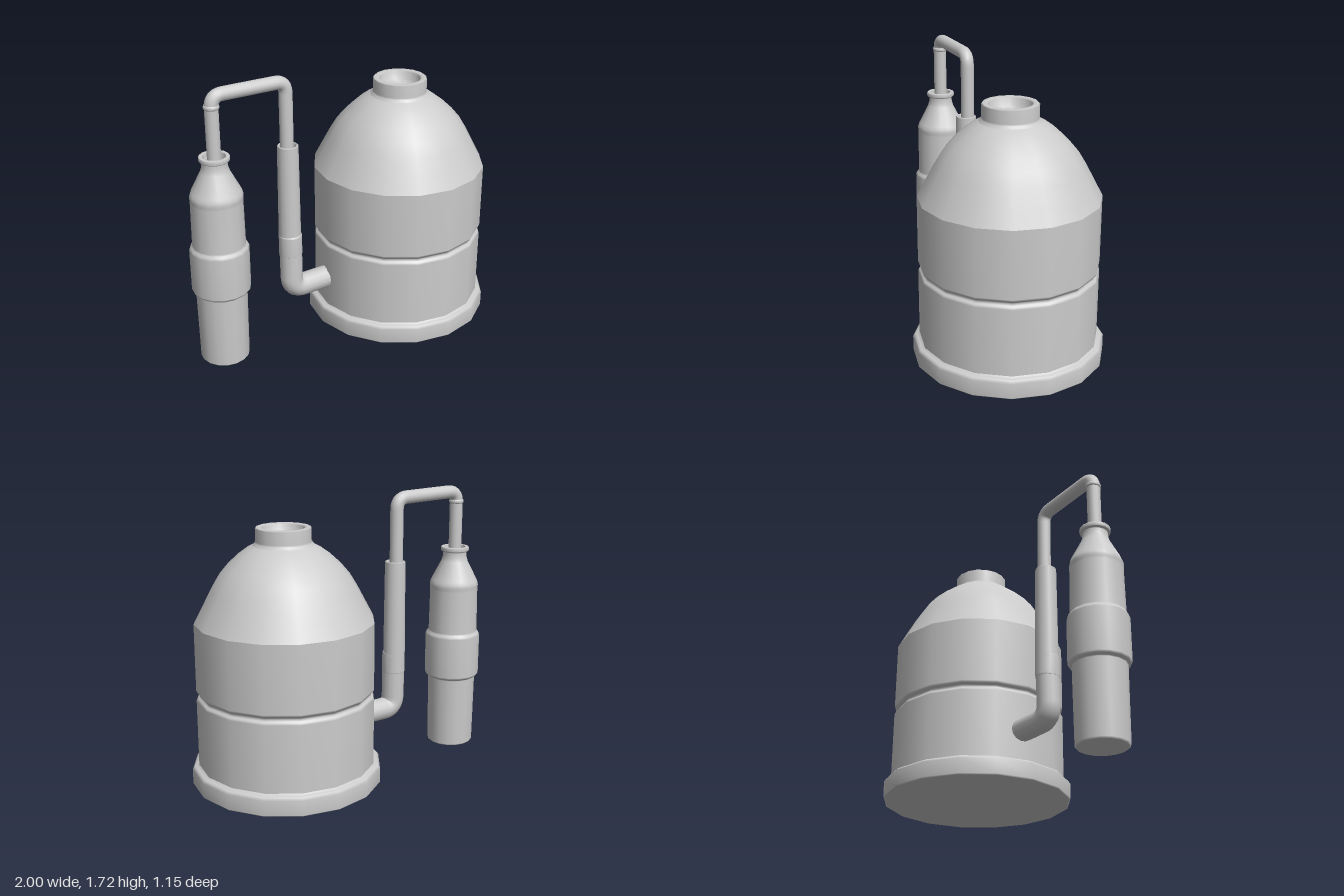
import * as THREE from 'three';

const material = new THREE.MeshStandardMaterial({ color: 0xcccccc, side: THREE.DoubleSide });

// Turned part; a profile point is [radius, height, bevel], the bevel softening that corner
function turned(name, profile, x, z, sides = 16) {
  const pts = [];
  profile.forEach(([r, y, bevel], i) => {
    const p = new THREE.Vector2(r, y);
    if (!bevel) return pts.push(p);
    for (const n of [profile[i - 1], profile[i + 1]]) {
      const d = new THREE.Vector2(n[0] - r, n[1] - y);
      pts.push(p.clone().addScaledVector(d, Math.min(0.45, bevel / d.length())));
    }
  });
  const mesh = new THREE.Mesh(new THREE.LatheGeometry(pts, sides), material);
  mesh.name = name;
  mesh.position.set(x, 0, z);
  return mesh;
}

// Round pipe along straight runs joined by rounded elbows
function pipe(name, corners, radius, bend, sides = 14) {
  const v = corners.map(c => new THREE.Vector3(...c));
  const path = new THREE.CurvePath();
  let from = v[0];
  for (let i = 1; i < v.length - 1; i++) {
    const a = v[i].clone().add(v[i - 1].clone().sub(v[i]).setLength(bend));
    const b = v[i].clone().add(v[i + 1].clone().sub(v[i]).setLength(bend));
    path.add(new THREE.LineCurve3(from, a));
    path.add(new THREE.QuadraticBezierCurve3(a, v[i], b));
    from = b;
  }
  path.add(new THREE.LineCurve3(from, v[v.length - 1]));
  const mesh = new THREE.Mesh(new THREE.TubeGeometry(path, 90, radius, sides), material);
  mesh.name = name;
  return mesh;
}

export function createModel() {
  const model = new THREE.Group();
  model.name = 'distillingApparatus';
  const tankX = 0.425, bottleX = -0.825, riserX = -0.35, z = -0.06;

  // Wide foot under the tank
  model.add(turned('tankBase', [
    [0, 0.02], [0.575, 0.02, 0.008], [0.575, 0.13, 0.012], [0.545, 0.137, 0.005], [0.53, 0.15],
  ], tankX, 0));

  // Straight wall with a groove around the middle
  model.add(turned('tankBody', [
    [0.535, 0.1], [0.535, 0.562, 0.008], [0.515, 0.575, 0.004], [0.515, 0.59, 0.004],
    [0.535, 0.607, 0.008], [0.535, 1.02],
  ], tankX, 0));

  // Domed shoulder
  model.add(turned('tankDome', [
    [0.535, 1.02], [0.485, 1.115], [0.435, 1.21], [0.39, 1.285], [0.335, 1.35],
    [0.27, 1.41], [0.215, 1.45], [0.16, 1.48],
  ], tankX, 0));

  // Open neck with a shallow well inside
  model.add(turned('tankNeck', [
    [0.185, 1.465], [0.165, 1.485, 0.006], [0.165, 1.572, 0.006], [0.125, 1.572, 0.008],
    [0.112, 1.5, 0.02], [0, 1.49],
  ], tankX, 0));

  // Receiving bottle with a wide band and tapered shoulder
  model.add(turned('bottle', [
    [0, 0.008], [0.148, 0.008, 0.01], [0.153, 0.465, 0.004], [0.176, 0.48, 0.008],
    [0.176, 0.755, 0.008], [0.157, 0.775, 0.006], [0.153, 1.06, 0.006], [0.156, 1.085, 0.006],
    [0.15, 1.11, 0.01], [0.078, 1.25, 0.015], [0.073, 1.298, 0.003], [0.09, 1.303, 0.004],
    [0.09, 1.33, 0.004], [0.066, 1.33, 0.004], [0.06, 1.27, 0.004], [0, 1.27],
  ], bottleX, z));

  // Thin tube from the riser over to the bottle
  model.add(pipe('transferTube', [
    [bottleX, 1.24, z], [bottleX, 1.685, z], [riserX, 1.678, z], [riserX, 1.2, z],
  ], 0.041, 0.07));
  model.add(turned('tubeCollar', [
    [0.04, 1.608], [0.046, 1.613, 0.003], [0.046, 1.628, 0.003], [0.04, 1.634],
  ], bottleX, z));

  // Thick outlet pipe leaving the tank wall and turning upwards
  model.add(pipe('outletPipe', [
    [0, 0.328, -0.04], [riserX, 0.328, -0.04], [riserX, 0.6, -0.045],
  ], 0.07, 0.08));

  // Sleeve and open riser holding the thin tube
  model.add(turned('riserCollar', [
    [0.06, 0.565], [0.072, 0.57, 0.004], [0.072, 0.7, 0.005], [0.06, 0.708],
  ], riserX, -0.045));
  model.add(turned('riserPipe', [
    [0.07, 0.58], [0.064, 1.287, 0.005], [0.05, 1.287, 0.004], [0.046, 1.24, 0.004], [0, 1.24],
  ], riserX, -0.05));

  return model;
}
